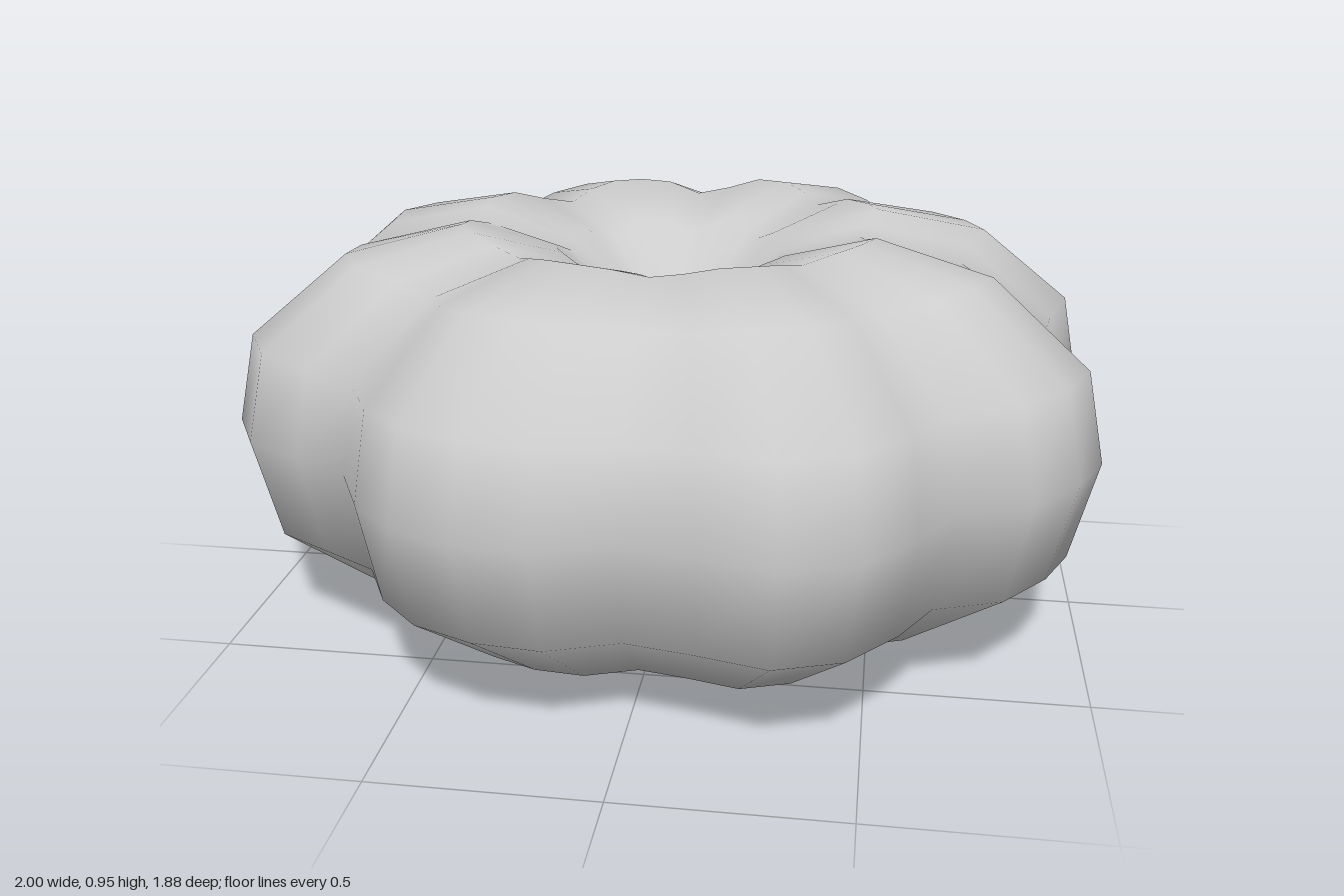
import * as THREE from 'three';

// Half of the ribbed outline at the widest level, from +x round to -x; mirrored in z
const HALF_RIM = [
  [0.92, 0], [0.95, 0.15], [1, 0.3], [0.94, 0.43], [0.835, 0.56],
  [0.675, 0.62], [0.6, 0.755], [0.49, 0.885], [0.335, 0.94], [0.17, 0.9],
  [0.01, 0.87], [-0.155, 0.93], [-0.315, 0.915], [-0.46, 0.855], [-0.565, 0.75],
  [-0.64, 0.605], [-0.78, 0.525], [-0.92, 0.445], [-1, 0.305], [-1, 0.155], [-0.93, 0],
];

// Side profile as [fraction of the outline, height], from the base into the top hollow
const PROFILE = [
  [0.34, 0], [0.7, 0.075], [0.945, 0.26], [1, 0.5], [0.957, 0.71],
  [0.74, 0.895], [0.48, 0.955], [0.27, 0.89], [0.11, 0.73],
];
const HOLLOW_Y = 0.62;
const MIDDLE_Y = 0.5;

function ribbedBody() {
  const rim = [...HALF_RIM, ...HALF_RIM.slice(1, -1).reverse().map(([x, z]) => [x, -z])];
  const n = rim.length;
  const positions = [];
  const index = [];

  // Rings: the grooves between ribs also dip on the upper half
  for (const [k, y] of PROFILE) {
    for (const [x, z] of rim) {
      const dip = Math.min(1, Math.hypot(x, z * 1.06) / 1.04) ** 0.65;
      positions.push(x * k, y > MIDDLE_Y ? MIDDLE_Y + (y - MIDDLE_Y) * dip : y, z * k);
    }
  }
  for (let r = 0; r < PROFILE.length - 1; r++) {
    for (let i = 0; i < n; i++) {
      const j = (i + 1) % n;
      const a = r * n + i, b = r * n + j, c = a + n, d = b + n;
      index.push(a, c, b, b, c, d);
    }
  }

  // Flat base and the bottom of the hollow
  const base = PROFILE.length * n;
  const top = base - n;
  positions.push(0, 0, 0, 0, HOLLOW_Y, 0);
  for (let i = 0; i < n; i++) {
    const j = (i + 1) % n;
    index.push(base, i, j);
    index.push(base + 1, top + j, top + i);
  }

  const geometry = new THREE.BufferGeometry();
  geometry.setAttribute('position', new THREE.Float32BufferAttribute(positions, 3));
  geometry.setIndex(index);
  geometry.computeVertexNormals();
  return geometry;
}

export function createModel() {
  const grey = new THREE.MeshStandardMaterial({ color: 0xcccccc });
  grey.name = 'light grey';

  const body = new THREE.Mesh(ribbedBody(), grey);
  body.name = 'pumpkinBody';

  const model = new THREE.Group();
  model.name = 'pumpkin';
  model.add(body);
  return model;
}
